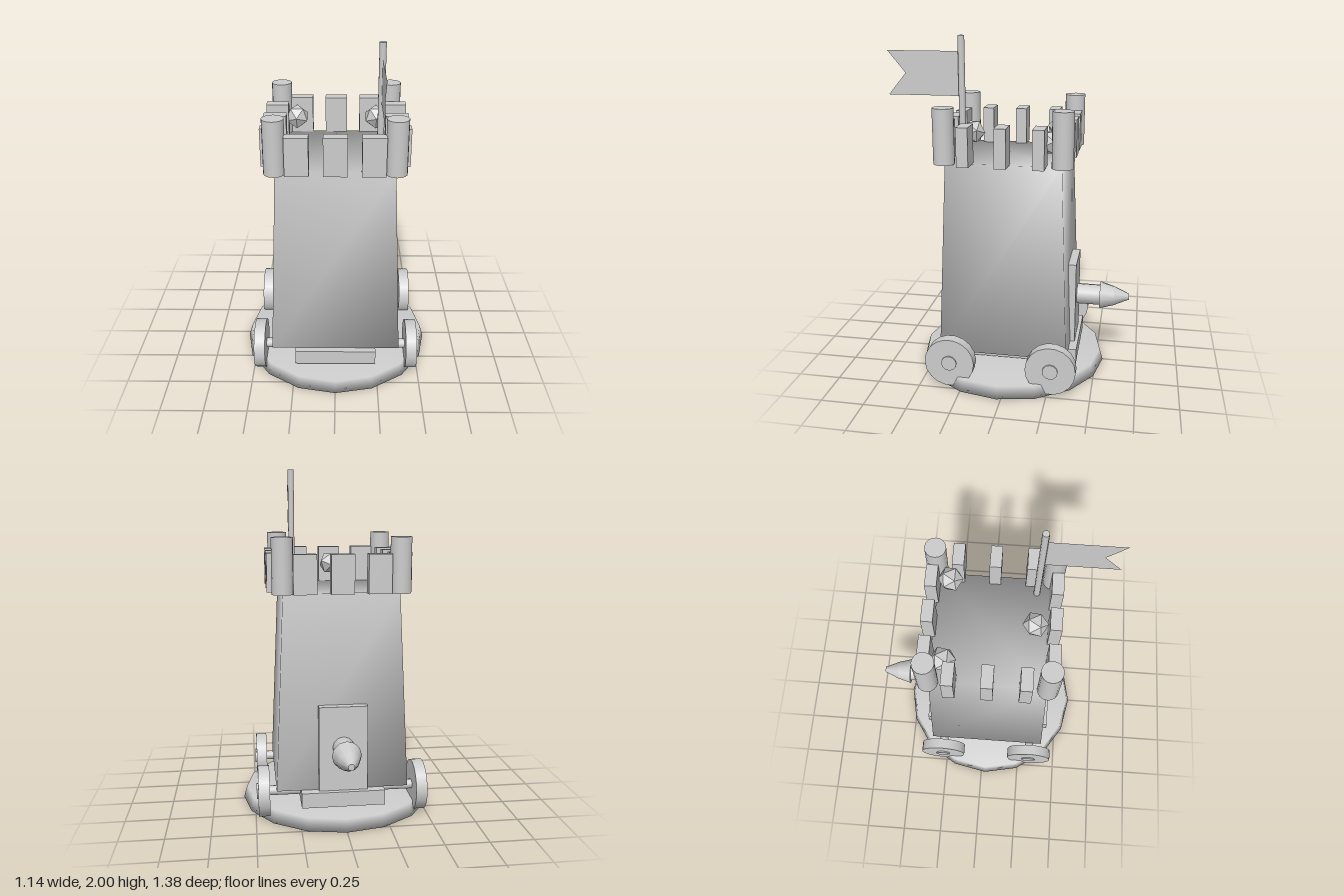
import * as THREE from 'three';
import { mergeVertices } from 'three/addons/utils/BufferGeometryUtils.js';

export function createModel() {
  const root = new THREE.Group();
  root.name = 'siegeTower';
  const grey = new THREE.MeshStandardMaterial({ color: 0xcccccc });
  grey.name = 'plain grey';
  const facetGrey = grey;
  const clothGrey = grey.clone();
  clothGrey.name = 'flag grey';
  clothGrey.side = THREE.DoubleSide;

  const Z = 0.026; // body centre along z

  function add(name, geometry, x, y, z, material = grey) {
    const mesh = new THREE.Mesh(geometry, material);
    mesh.name = name;
    mesh.position.set(x, y, z);
    root.add(mesh);
    return mesh;
  }
  // weld all corners so the normals blend over every edge
  function smooth(geometry) {
    geometry.deleteAttribute('normal');
    geometry.deleteAttribute('uv');
    const welded = mergeVertices(geometry, 1e-4);
    welded.computeVertexNormals();
    return welded;
  }

  // round ground base
  add('groundBase', smooth(new THREE.CylinderGeometry(0.55, 0.57, 0.07, 16)), 0, 0.035, Z);

  // tapered square tower body
  const body = new THREE.BoxGeometry(0.76, 1.13, 0.75);
  const p = body.attributes.position;
  for (let i = 0; i < p.count; i++) {
    if (p.getY(i) > 0) {
      p.setX(i, Math.sign(p.getX(i)) * 0.33);
      p.setZ(i, Math.sign(p.getZ(i)) * 0.328);
    }
  }
  add('towerBody', smooth(body), 0, 0.745, Z);

  // chassis under the tower
  add('chassis', new THREE.BoxGeometry(0.48, 0.088, 0.832), 0, 0.133, 0.02);

  // axles, wheels and hubs
  for (const z of [0.32, -0.27]) {
    add('axle', new THREE.CylinderGeometry(0.028, 0.028, 0.88, 12).rotateZ(Math.PI / 2), 0, 0.156, z);
    for (const side of [1, -1]) {
      add('wheel', new THREE.CylinderGeometry(0.146, 0.146, 0.065, 18).rotateZ(Math.PI / 2), side * 0.453, 0.156, z);
      add('hub', new THREE.CylinderGeometry(0.045, 0.045, 0.03, 12).rotateZ(Math.PI / 2), side * 0.479, 0.156, z);
    }
  }

  // battlements: three blocks per side and a post at each corner
  const merlon = new THREE.BoxGeometry(0.131, 0.22, 0.066);
  const post = new THREE.CylinderGeometry(0.06, 0.06, 0.312, 16);
  for (const side of [1, -1]) {
    for (const step of [-0.208, 0, 0.208]) {
      add('merlon', merlon, step, 1.417, Z + side * 0.347);
      add('merlon', merlon, side * 0.348, 1.417, Z + step);
    }
    for (const end of [1, -1]) add('cornerPost', post, side * 0.33, 1.463, Z + end * 0.331);
  }

  // faceted shot on the roof
  const ball = new THREE.IcosahedronGeometry(0.073, 0).rotateX(0.45);
  for (const [x, z] of [[-0.237, -0.222], [0.24, -0.222], [0, 0.266]]) {
    add('shot', ball, x, 1.43, z, facetGrey);
  }

  // flagpole with swallow-tailed flag
  add('flagpole', new THREE.CylinderGeometry(0.019, 0.019, 0.69, 10), 0.243, 1.655, 0.268);
  const cloth = new THREE.Shape([
    [0, 1.672], [-0.42, 1.672], [-0.319, 1.793], [-0.42, 1.915], [0, 1.915],
  ].map(([x, y]) => new THREE.Vector2(x, y)));
  const flag = add('flag', new THREE.ShapeGeometry(cloth), 0.243, 0, 0.268, clothGrey);
  flag.rotation.y = Math.PI / 2; // tail points forward

  // rear plate with battering ram
  add('rearPlate', new THREE.BoxGeometry(0.278, 0.495, 0.05), 0, 0.428, -0.351);
  const ram = [
    ['ramBarrel', 0.062, 0.062, -0.35, -0.52],
    ['ramCollar', 0.083, 0.058, -0.515, -0.6],
    ['ramTip', 0.058, 0.018, -0.6, -0.69],
  ];
  for (const [name, rNear, rFar, zNear, zFar] of ram) {
    const g = new THREE.CylinderGeometry(rFar, rNear, zNear - zFar, 12).rotateX(-Math.PI / 2);
    add(name, g, 0, 0.438, (zNear + zFar) / 2);
  }
  return root;
}
